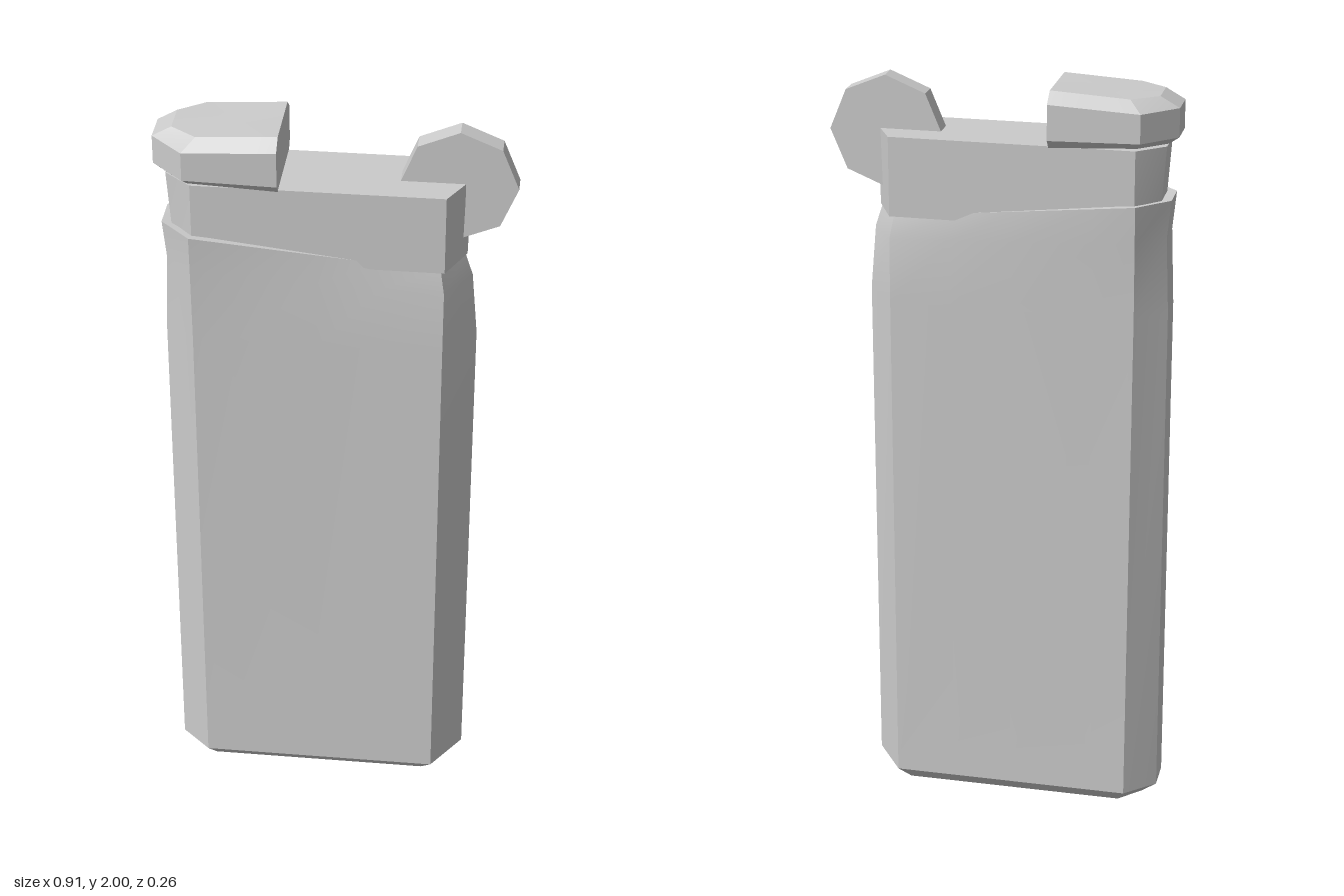
import * as THREE from 'three';
import { toCreasedNormals } from 'three/addons/utils/BufferGeometryUtils.js';

const material = new THREE.MeshStandardMaterial({ color: 0xcccccc });

// Plan outline: blunt left end, flat long sides, right end tapering to half-width tip.
// zl and zr are the half-widths of the long sides at their left and right ends.
function outline({ xl, cl, cr, xr, zl, zr, blunt = 0.045, tip = 0, y, yr = y }) {
  const side = [0, 0.17, 0.5, 0.75, 1].map((t) => [cl + (cr - cl) * t, zl + (zr - zl) * t]);
  const plan = [
    ...side,
    [xr, tip],
    [xr, -tip],
    ...side.map(([x, z]) => [x, -z]).reverse(),
    [xl, -blunt],
    [xl, blunt],
  ];
  return plan.map(([x, z]) => {
    const t = THREE.MathUtils.clamp((x - cl) / (cr - cl), 0, 1);
    return [x, y + (yr - y) * t, z];
  });
}

// Skin stacked outlines from bottom to top and close both ends.
function loft(name, rings, crease) {
  const n = rings[0].length;
  const points = rings.flat();
  const index = [];
  for (let r = 0; r < rings.length - 1; r++) {
    for (let i = 0; i < n; i++) {
      const a = r * n + i, b = r * n + ((i + 1) % n);
      index.push(a, b, b + n, a, b + n, a + n);
    }
  }
  const last = (rings.length - 1) * n;
  [rings[0], rings[rings.length - 1]].forEach((ring, end) => {
    const centre = points.length;
    points.push([0, 1, 2].map((k) => ring.reduce((s, p) => s + p[k], 0) / n));
    for (let i = 0; i < n; i++) {
      const j = (i + 1) % n;
      if (end) index.push(centre, last + i, last + j);
      else index.push(centre, j, i);
    }
  });
  const geometry = new THREE.BufferGeometry();
  geometry.setAttribute('position', new THREE.Float32BufferAttribute(points.flat(), 3));
  geometry.setIndex(index);
  const mesh = new THREE.Mesh(toCreasedNormals(geometry, crease), material);
  mesh.name = name;
  return mesh;
}

export function createModel() {
  const group = new THREE.Group();
  group.name = 'lighter';

  // Fuel body: chamfered base, flared left shoulder, rounded-in right shoulder, sloping rim
  group.add(loft('body', [
    { xl: -0.4, cl: -0.34, cr: 0.25, xr: 0.32, zl: 0.09, zr: 0.09, blunt: 0.03, y: 0 },
    { xl: -0.44, cl: -0.36, cr: 0.28, xr: 0.36, zl: 0.118, zr: 0.118, y: 0.035 },
    { xl: -0.438, cl: -0.36, cr: 0.28, xr: 0.36, zl: 0.11, zr: 0.113, y: 1.42 },
    { xl: -0.43, cl: -0.36, cr: 0.28, xr: 0.345, zl: 0.119, zr: 0.11, y: 1.62, yr: 1.59 },
    { xl: -0.44, cl: -0.36, cr: 0.27, xr: 0.325, zl: 0.125, zr: 0.097, y: 1.72, yr: 1.65 },
  ].map(outline), 0.6));

  // Metal hood around the flame outlet
  group.add(loft('hood', [
    { xl: -0.41, cl: -0.355, cr: 0.28, xr: 0.33, zl: 0.105, zr: 0.107, y: 1.65 },
    { xl: -0.425, cl: -0.355, cr: 0.28, xr: 0.335, zl: 0.107, zr: 0.107, y: 1.86 },
  ].map(outline), 0.5));

  // Thumb button with chamfered top and bottom edges
  group.add(loft('thumbButton', [
    { xl: -0.43, cl: -0.36, cr: -0.136, xr: -0.135, zl: 0.11, zr: 0.11, tip: 0.11, y: 1.868, yr: 1.857 },
    { xl: -0.455, cl: -0.37, cr: -0.136, xr: -0.135, zl: 0.13, zr: 0.13, tip: 0.13, y: 1.885, yr: 1.88 },
    { xl: -0.455, cl: -0.37, cr: -0.136, xr: -0.135, zl: 0.13, zr: 0.13, tip: 0.13, y: 1.96, yr: 1.972 },
    { xl: -0.405, cl: -0.338, cr: -0.136, xr: -0.135, zl: 0.095, zr: 0.095, tip: 0.095, y: 1.988, yr: 2 },
  ].map(outline), 0.3));

  // Octagonal spark wheel
  const wheelGeometry = new THREE.CylinderGeometry(0.148, 0.148, 0.055, 8).rotateX(Math.PI / 2);
  const wheel = new THREE.Mesh(toCreasedNormals(wheelGeometry, 0.3), material);
  wheel.name = 'sparkWheel';
  wheel.position.set(0.305, 1.852, -0.002);
  group.add(wheel);

  return group;
}
